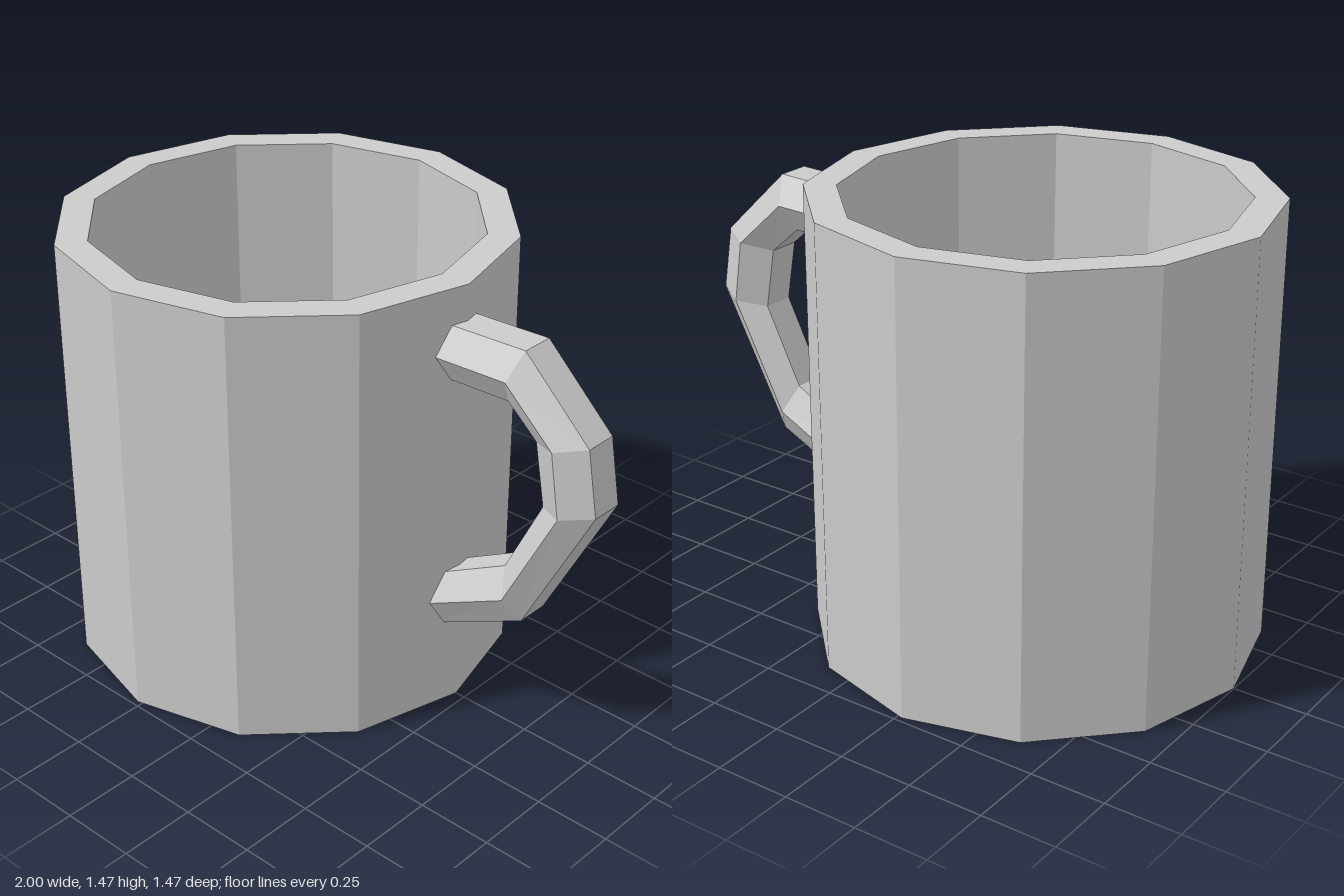
import * as THREE from 'three';

const material = new THREE.MeshStandardMaterial({ color: 0xcccccc, flatShading: true });

// Twelve-sided cup: underside, outer wall, rim, inner wall and inner floor
function createCup() {
  const radius = 0.733, inner = 0.63, height = 1.473, floor = 0.1;
  const profile = [
    [0, 0], [radius, 0], [radius, height], [inner, height], [inner, floor], [0, floor],
  ].map(([r, y]) => new THREE.Vector2(r, y));
  const cup = new THREE.Mesh(new THREE.LatheGeometry(profile, 12), material);
  cup.name = 'cup';
  cup.position.x = -0.267;
  return cup;
}

// Hexagonal handle: each station gives the outer, middle and inner edge as x, y
function createHandle() {
  const stations = [
    [0.40, 1.352, 0.40, 1.263, 0.40, 1.174],
    [0.722, 1.364, 0.695, 1.273, 0.668, 1.182],
    [0.963, 1.133, 0.872, 1.111, 0.776, 1.088],
    [1.0, 0.918, 0.905, 0.899, 0.812, 0.882],
    [0.754, 0.449, 0.717, 0.535, 0.683, 0.62],
    [0.40, 0.279, 0.40, 0.377, 0.40, 0.467],
  ];
  const flat = 0.055, wide = 0.11, sides = 6;
  const positions = [], index = [];
  for (const [ox, oy, mx, my, ix, iy] of stations) {
    positions.push(ox, oy, flat, mx, my, wide, ix, iy, flat);
    positions.push(ix, iy, -flat, mx, my, -wide, ox, oy, -flat);
  }
  for (let s = 0; s < stations.length - 1; s++) {
    for (let k = 0; k < sides; k++) {
      const a = s * sides + k, b = s * sides + (k + 1) % sides;
      index.push(a, b, a + sides, b, b + sides, a + sides);
    }
  }
  // End caps, buried in the cup wall
  const last = (stations.length - 1) * sides;
  for (let k = 1; k < sides - 1; k++) {
    index.push(0, k + 1, k, last, last + k, last + k + 1);
  }
  const geometry = new THREE.BufferGeometry();
  geometry.setAttribute('position', new THREE.Float32BufferAttribute(positions, 3));
  geometry.setIndex(index);
  const faceted = geometry.toNonIndexed();
  faceted.computeVertexNormals();
  const handle = new THREE.Mesh(faceted, material);
  handle.name = 'handle';
  return handle;
}

export function createModel() {
  const mug = new THREE.Group();
  mug.name = 'mug';
  mug.add(createCup(), createHandle());
  return mug;
}
